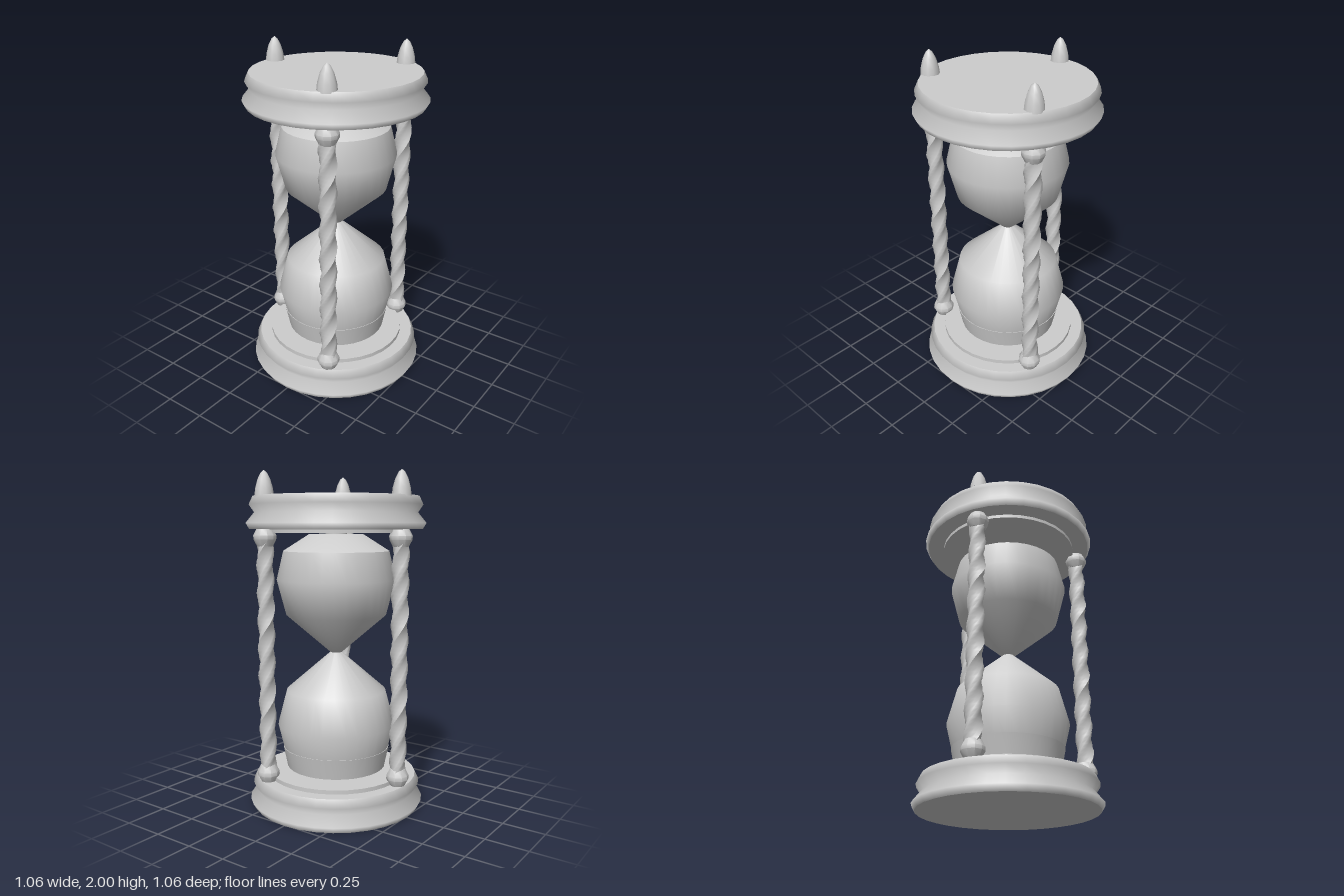
import * as THREE from 'three';
import { toCreasedNormals } from 'three/addons/utils/BufferGeometryUtils.js';

const grey = new THREE.MeshStandardMaterial({ color: 0xcccccc });
grey.name = 'grey';

function add(parent, name, geometry, y = 0) {
  const mesh = new THREE.Mesh(geometry, grey);
  mesh.name = name;
  mesh.position.y = y;
  parent.add(mesh);
  return mesh;
}

// Profile points run from bottom to top as [radius, height]
function lathe(points, sides, creaseDegrees) {
  const g = new THREE.LatheGeometry(points.map(([r, y]) => new THREE.Vector2(r, y)), sides);
  return creaseDegrees ? toCreasedNormals(g, THREE.MathUtils.degToRad(creaseDegrees)) : g;
}

// Moulded round end plate with flat caps
function makePlate(name) {
  const plate = new THREE.Group();
  plate.name = name;
  add(plate, 'mouldedRim', lathe([[0.51, 0.005], [0.53, 0.04], [0.48, 0.1], [0.51, 0.145], [0.487, 0.193]], 32));
  add(plate, 'upperFace', new THREE.CircleGeometry(0.487, 32), 0.193).rotation.x = -Math.PI / 2;
  add(plate, 'lowerFace', new THREE.CircleGeometry(0.51, 32), 0.005).rotation.x = Math.PI / 2;
  return plate;
}

// Three-lobed shaft twisted along its height
function twistedShaft(height) {
  const g = new THREE.CylinderGeometry(1, 1, height, 12, 54, true);
  const p = g.attributes.position;
  for (let i = 0; i < p.count; i++) {
    const a = Math.atan2(p.getX(i), p.getZ(i));
    const r = 0.045 + 0.007 * Math.cos(3 * a);
    const twisted = a + (p.getY(i) / 0.48) * Math.PI * 2;
    p.setX(i, r * Math.sin(twisted));
    p.setZ(i, r * Math.cos(twisted));
  }
  g.computeVertexNormals();
  return g;
}

function makePost() {
  const post = new THREE.Group();
  post.name = 'post';
  add(post, 'twistedShaft', twistedShaft(1.38), 0.935);
  const collar = lathe([[0, -0.05], [0.045, -0.05], [0.066, -0.01], [0.064, 0.012], [0.045, 0.05], [0, 0.05]], 10, 40);
  add(post, 'lowerCollar', collar, 0.242);
  add(post, 'upperCollar', collar, 1.629).rotation.x = Math.PI;
  add(post, 'finial', lathe([[0.055, 1.855], [0.05, 1.9], [0.036, 1.95], [0.018, 1.985], [0, 2]], 10));
  return post;
}

export function createModel() {
  const model = new THREE.Group();
  model.name = 'hourglass';

  // End plates with raised inner discs
  const base = makePlate('basePlate');
  const top = makePlate('topPlate');
  top.position.y = 1.67;
  model.add(base, top);
  const disc = new THREE.CylinderGeometry(0.415, 0.415, 0.03, 32);
  add(model, 'lowerDisc', disc, 0.202);
  add(model, 'upperDisc', disc, 1.67);

  // Glass bulbs, mirrored about the neck
  const bulb = lathe([[0.035, 0], [0.3, 0.23], [0.355, 0.44], [0.315, 0.607], [0.16, 0.705], [0, 0.705]], 32, 39);
  const stub = new THREE.CylinderGeometry(0.065, 0.065, 0.03, 16);
  for (const [side, flip] of [['upper', 0], ['lower', Math.PI]]) {
    add(model, side + 'Bulb', bulb, 0.94).rotation.x = flip;
    add(model, side + 'Stub', stub, flip ? 0.225 : 1.65);
  }

  // Sand in both bulbs
  add(model, 'lowerSand', lathe([[0, 0.237], [0.3, 0.237], [0.325, 0.36], [0, 0.36]], 32, 40));
  add(model, 'upperSand', lathe([[0.02, 0.96], [0.29, 1.17], [0.325, 1.28], [0, 1.28]], 32, 40));

  // Three posts, the first one at the back
  for (let i = 0; i < 3; i++) {
    const a = Math.PI + (i * Math.PI * 2) / 3;
    const post = makePost();
    post.position.set(0.442 * Math.sin(a), 0, 0.442 * Math.cos(a));
    model.add(post);
  }
  return model;
}
